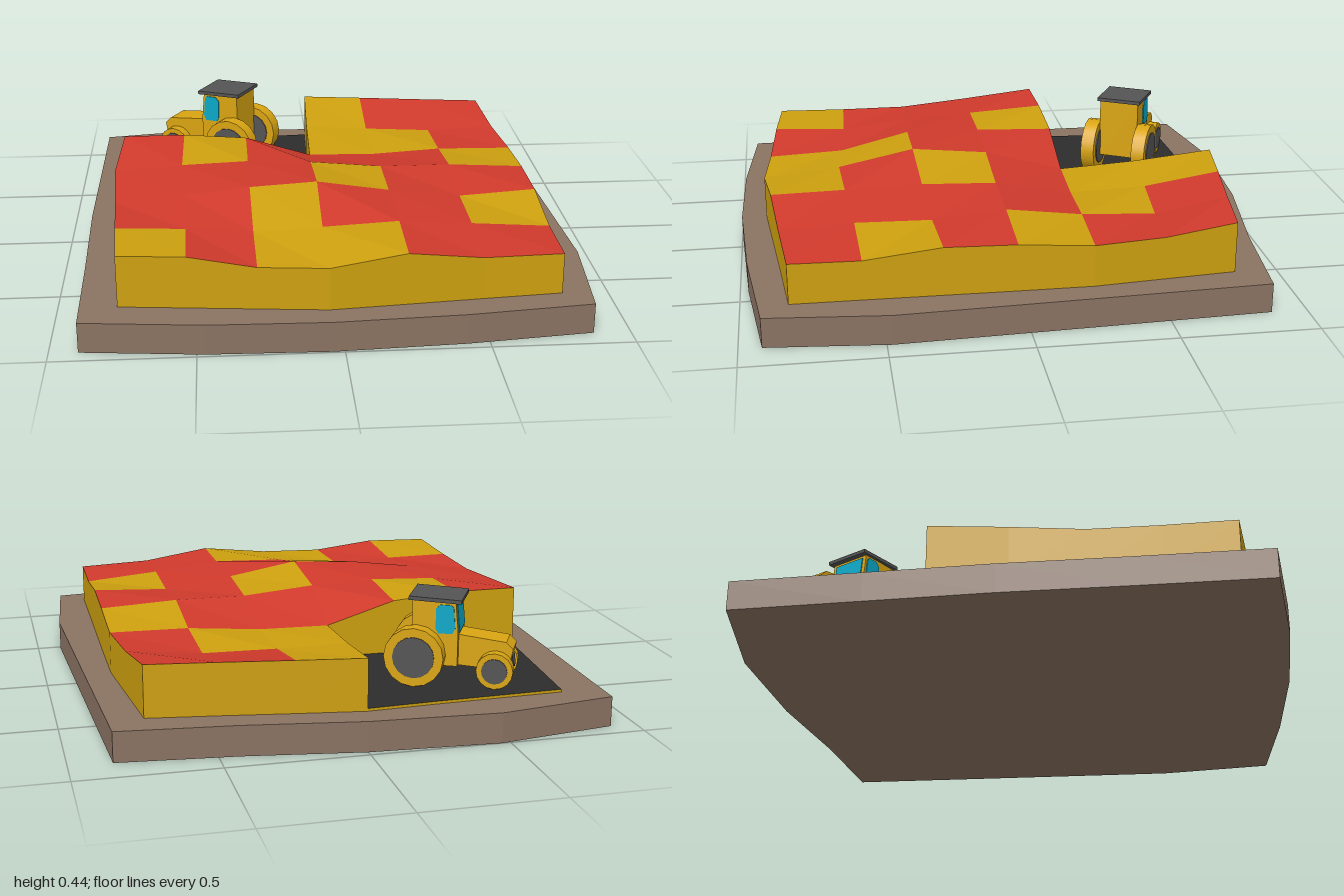
import * as THREE from 'three';

const mat = (name, color) => {
  const m = new THREE.MeshStandardMaterial({ color });
  m.name = name;
  return m;
};

export function createModel() {
  const soil = mat('soil brown', 0x8a7362);
  const gold = mat('crop gold', 0xcda00f);
  const red = mat('crop red', 0xd03a2c);
  const dark = mat('bare ground', 0x2c2c2c);
  const yellow = mat('tractor yellow', 0xdaa512);
  const grey = mat('roof grey', 0x545454);
  const cyan = mat('window cyan', 0x08a8c8);

  const model = new THREE.Group();
  const add = (parent, name, geo, material, x = 0, y = 0, z = 0) => {
    const m = new THREE.Mesh(geo, material);
    m.name = name;
    m.position.set(x, y, z);
    parent.add(m);
    return m;
  };

  // Irregular earth slab
  const outline = [
    [-0.9, 0.94], [-0.47, 0.985], [-0.04, 0.995], [0.42, 0.97], [0.87, 0.92], [0.91, 0.48],
    [0.89, 0.02], [0.87, -0.43], [0.85, -0.87], [0.43, -0.91], [0, -0.975], [-0.47, -1],
    [-0.905, -0.93], [-0.91, -0.46], [-0.915, 0], [-0.905, 0.48],
  ];
  const slab = new THREE.ExtrudeGeometry(
    new THREE.Shape(outline.map(([x, z]) => new THREE.Vector2(x, -z))),
    { depth: 0.11, bevelEnabled: false });
  slab.rotateX(-Math.PI / 2);
  add(model, 'earthSlab', slab, soil);

  // Field grid: columns of x, z and height, back row first
  const gx = [
    [-0.75, -0.51, -0.27, -0.025, 0.22, 0.48, 0.73],
    [-0.77, -0.53, -0.28, -0.035, 0.22, 0.485, 0.755],
    [-0.79, -0.55, -0.3, -0.04, 0.22, 0.49, 0.78],
    [-0.815, -0.555, -0.3, -0.055, 0.22, 0.49, 0.78],
    [-0.8, -0.545, -0.3, -0.05, 0.22, 0.49, 0.778],
    [-0.785, -0.535, -0.295, -0.05, 0.225, 0.49, 0.776],
    [-0.77, -0.53, -0.29, -0.045, 0.225, 0.49, 0.775],
  ];
  const gz = [
    [-0.84, -0.85, -0.86, -0.875, -0.84, -0.8, -0.765],
    [-0.56, -0.565, -0.57, -0.57, -0.55, -0.525, -0.5],
    [-0.265, -0.268, -0.27, -0.27, -0.26, -0.25, -0.24],
    [0.03, 0.03, 0.03, 0.03, 0.03, 0.03, 0.03],
    [0.3, 0.31, 0.32, 0.32, 0.31, 0.3, 0.29],
    [0.56, 0.57, 0.59, 0.61, 0.6, 0.58, 0.57],
    [0.825, 0.85, 0.875, 0.9, 0.875, 0.85, 0.825],
  ];
  const gy = [
    [0, 0, 0, 0.3, 0.3, 0.3, 0.3],
    [0, 0, 0, 0.265, 0.255, 0.25, 0.27],
    [0.345, 0.345, 0.325, 0.245, 0.245, 0.265, 0.265],
    [0.305, 0.325, 0.335, 0.325, 0.3, 0.3, 0.285],
    [0.285, 0.31, 0.34, 0.355, 0.31, 0.275, 0.29],
    [0.29, 0.285, 0.275, 0.295, 0.305, 0.28, 0.257],
    [0.3, 0.3, 0.265, 0.265, 0.3, 0.265, 0.26],
  ];
  const crop = ['DDDGRR', 'DDDGGR', 'RGRRRG', 'RRRGRR', 'RRGRRG', 'GRGGRR'];
  const at = (r, c) => (crop[r] && crop[r][c]) || '';
  const faces = { G: [], R: [], D: [], wall: [] };
  const quad = (list, a, b, c, d) => list.push(...a, ...b, ...c, ...a, ...c, ...d);
  for (let r = 0; r < 6; r++) for (let c = 0; c < 6; c++) {
    const kind = at(r, c);
    const p = (i, j) => [gx[i][j], kind === 'D' ? 0.12 : gy[i][j], gz[i][j]];
    const q = [p(r, c), p(r + 1, c), p(r + 1, c + 1), p(r, c + 1)];
    quad(faces[kind], ...q);
    // Side walls where the crop ends
    const next = [at(r, c - 1), at(r + 1, c), at(r, c + 1), at(r - 1, c)];
    next.forEach((n, k) => {
      if (n && !(n === 'D' && kind !== 'D')) return;
      const a = q[k], b = q[(k + 1) % 4];
      quad(faces.wall, [a[0], 0.11, a[2]], [b[0], 0.11, b[2]], b, a);
    });
  }
  const field = (name, list, material) => {
    const g = new THREE.BufferGeometry();
    g.setAttribute('position', new THREE.Float32BufferAttribute(list, 3));
    g.computeVertexNormals();
    add(model, name, g, material);
  };
  field('goldPatches', faces.G, gold);
  field('redPatches', faces.R, red);
  field('harvestedGround', faces.D, dark);
  field('fieldWalls', faces.wall, gold);

  // Tractor, built facing +z then turned toward the back corner
  const tractor = new THREE.Group();
  tractor.name = 'tractor';
  tractor.position.set(-0.37, 0.12, -0.6);
  tractor.rotation.y = Math.atan2(-0.88, -0.47);
  model.add(tractor);
  const box = (name, m, w, h, d, x, y, z) =>
    add(tractor, name, new THREE.BoxGeometry(w, h, d), m, x, y, z);

  // Side profile (z, y) swept across the width
  const prism = (name, pts, w, m) => {
    const g = new THREE.ExtrudeGeometry(
      new THREE.Shape(pts.map(([z, y]) => new THREE.Vector2(z, y))), { depth: w, bevelEnabled: false });
    g.rotateY(-Math.PI / 2).translate(w / 2, 0, 0);
    return add(tractor, name, g, m);
  };
  prism('hood', [[0.06, 0.07], [0.26, 0.06], [0.275, 0.14], [0.25, 0.165], [0.06, 0.185]], 0.11, yellow);
  prism('cab', [[-0.085, 0.07], [0.08, 0.07], [0.08, 0.2], [0.07, 0.305], [-0.085, 0.305]], 0.16, yellow);
  const roof = box('roof', grey, 0.18, 0.014, 0.19, 0, 0.312, -0.003);
  roof.rotation.x = 0.03;
  box('windshield', cyan, 0.13, 0.1, 0.005, 0, 0.243, 0.077).rotation.x = -0.095;
  const grille = add(tractor, 'grille', new THREE.CylinderGeometry(0.035, 0.035, 0.006, 8), grey, 0, 0.098, 0.269);
  grille.rotation.x = Math.PI / 2 - 0.18;

  for (const s of [-1, 1]) {
    // Side window with clipped corners
    const pane = prism('sideWindow', [[0.01, 0.19], [0.06, 0.19], [0.07, 0.21], [0.064, 0.285],
      [0.055, 0.295], [0.015, 0.295], [0, 0.28], [0, 0.205]], 0.006, cyan);
    pane.position.x = s * 0.081;
    // Wheels with grey side discs
    for (const [name, r, w, x, z] of [['rear', 0.108, 0.055, 0.107, -0.07], ['front', 0.066, 0.04, 0.075, 0.215]]) {
      const wheel = new THREE.CylinderGeometry(r, r, w, 16).rotateZ(Math.PI / 2);
      const disc = new THREE.CylinderGeometry(r * 0.7, r * 0.7, w + 0.008, 16).rotateZ(Math.PI / 2);
      add(tractor, name + 'Wheel', wheel, yellow, s * x, r, z);
      add(tractor, name + 'WheelDisc', disc, grey, s * x, r, z);
    }
  }
  return model;
}
